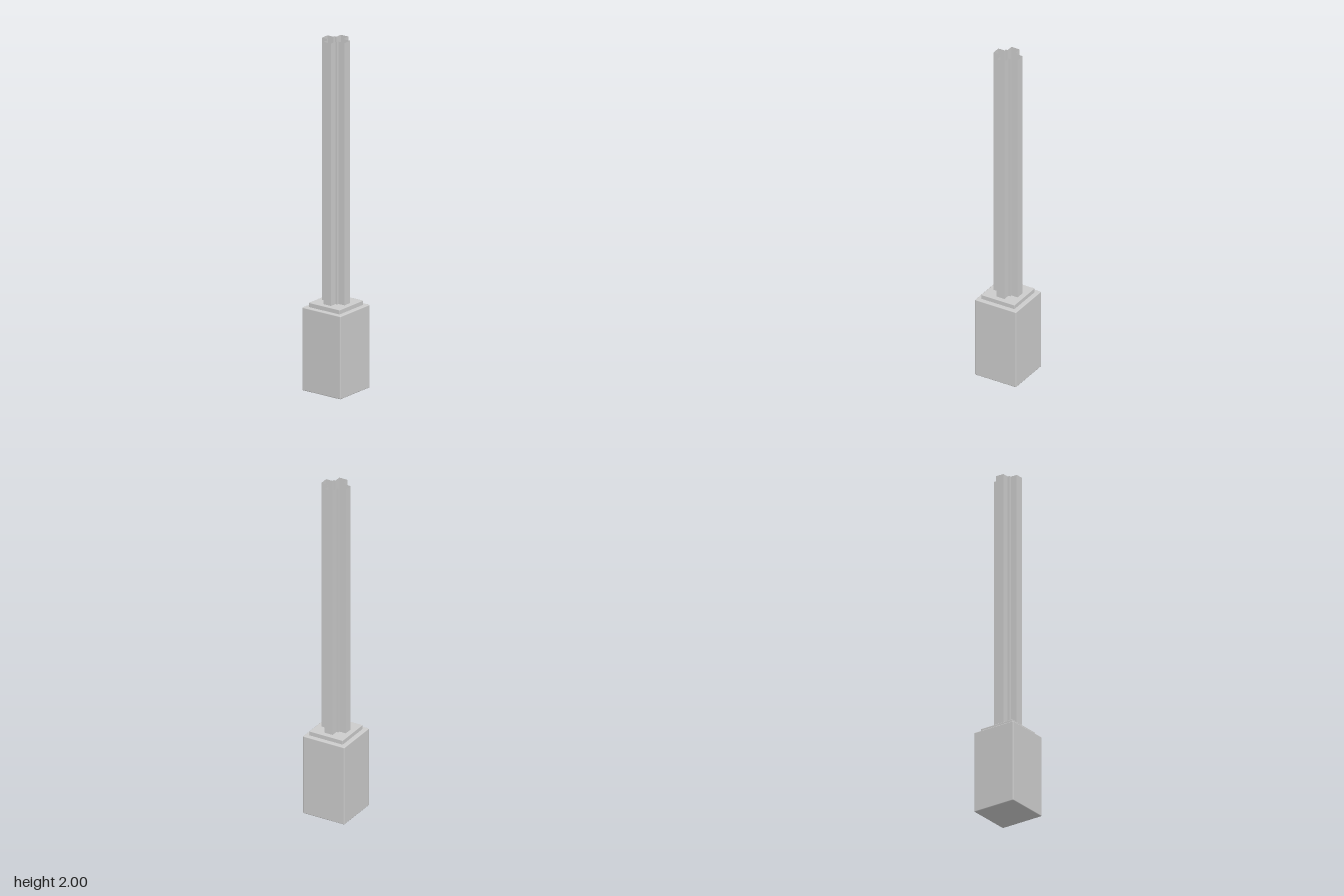
import * as THREE from 'three';
import { RoundedBoxGeometry } from 'three/addons/geometries/RoundedBoxGeometry.js';

const BASE = 0.262, BASE_TOP = 0.475;
const PLINTH = 0.21, PLINTH_TOP = 0.5;
const TOP = 2;

export function createModel() {
  const group = new THREE.Group();
  const grey = new THREE.MeshStandardMaterial({ color: 0xcccccc });
  const shell = new THREE.MeshStandardMaterial({ color: 0xcccccc, side: THREE.DoubleSide, flatShading: true });

  const add = (name, geometry, material, y) => {
    const mesh = new THREE.Mesh(geometry, material);
    mesh.name = name;
    mesh.position.y = y;
    group.add(mesh);
  };

  // Square base block with slightly softened edges
  add('base', new RoundedBoxGeometry(BASE, BASE_TOP, BASE, 2, 0.005), grey, BASE_TOP / 2);

  // Thin plinth, sunk a little into the base
  const plinthHeight = PLINTH_TOP - BASE_TOP + 0.01;
  add('plinth', new RoundedBoxGeometry(PLINTH, plinthHeight, PLINTH, 2, 0.003), grey, PLINTH_TOP - plinthHeight / 2);

  // Cross-shaped hollow shaft with stepped inner corners, open at the top
  const quarter = [[0.077, -0.025], [0.077, 0.025], [0.037, 0.025], [0.037, 0.037], [0.025, 0.037]];
  const outline = [];
  for (let q = 0; q < 4; q++) {
    for (const [x, z] of quarter) {
      outline.push([[x, z], [-z, x], [-x, -z], [z, -x]][q]);
    }
  }
  const positions = [];
  outline.forEach(([ax, az], i) => {
    const [bx, bz] = outline[(i + 1) % outline.length];
    const h = TOP - PLINTH_TOP;
    positions.push(ax, 0, az, bx, h, bz, bx, 0, bz);
    positions.push(ax, 0, az, ax, h, az, bx, h, bz);
  });
  const shaft = new THREE.BufferGeometry();
  shaft.setAttribute('position', new THREE.Float32BufferAttribute(positions, 3));
  shaft.computeVertexNormals();
  add('shaft', shaft, shell, PLINTH_TOP);

  return group;
}
